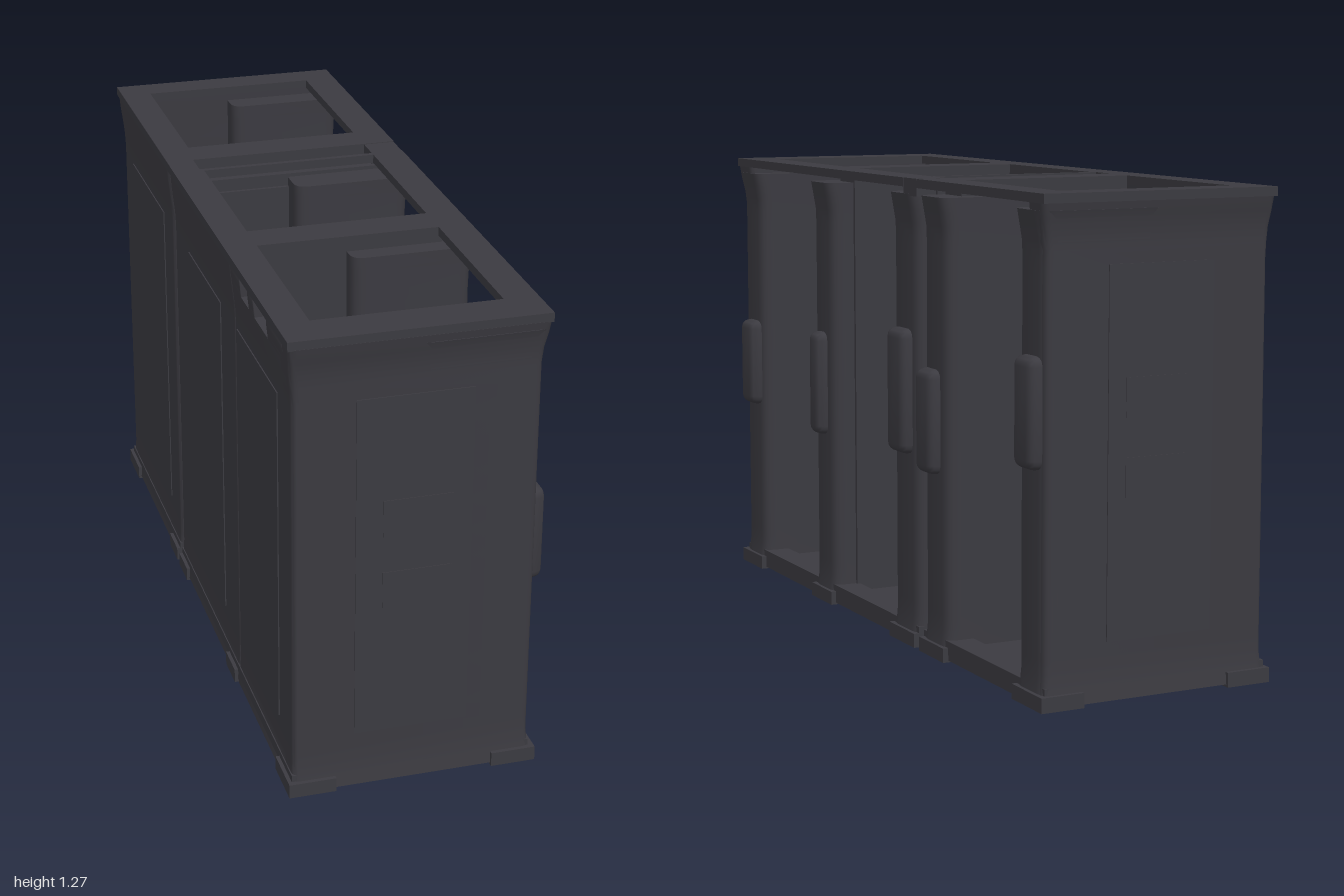
import * as THREE from 'three';
import { toCreasedNormals } from 'three/addons/utils/BufferGeometryUtils.js';
import { RoundedBoxGeometry } from 'three/addons/geometries/RoundedBoxGeometry.js';

const charcoal = new THREE.MeshStandardMaterial({ color: 0x3b3a40, side: THREE.DoubleSide });
charcoal.name = 'charcoal';

// Outward flare towards the crown (starting at height from) and the foot
function flare(y, from) {
  if (y > from) return 0.016 * Math.min(1, (y - from) / (1.24 - from));
  if (y < 0.08) return 0.01 * (0.08 - y) / 0.08;
  return 0;
}

export function createModel() {
  const group = new THREE.Group();

  const add = (name, geo, crease = 0.6) => {
    const mesh = new THREE.Mesh(toCreasedNormals(geo, crease), charcoal);
    mesh.name = name;
    group.add(mesh);
  };

  const box = (name, x0, x1, y0, y1, z0, z1) => {
    const g = new THREE.BoxGeometry(x1 - x0, y1 - y0, z1 - z0);
    g.translate((x0 + x1) / 2, (y0 + y1) / 2, (z0 + z1) / 2);
    add(name, g);
  };

  // Vertical piece with rounded corners in plan, flared on the outer faces
  const column = (name, x0, x1, y0, y1, z0, z1, r = 0.02) => {
    const s = new THREE.Shape();
    s.moveTo(x0 + r, -z1);
    s.lineTo(x1 - r, -z1);
    s.quadraticCurveTo(x1, -z1, x1, -z1 + r);
    s.lineTo(x1, -z0 - r);
    s.quadraticCurveTo(x1, -z0, x1 - r, -z0);
    s.lineTo(x0 + r, -z0);
    s.quadraticCurveTo(x0, -z0, x0, -z0 - r);
    s.lineTo(x0, -z1 + r);
    s.quadraticCurveTo(x0, -z1, x0 + r, -z1);
    const g = new THREE.ExtrudeGeometry(s, { depth: y1 - y0, bevelEnabled: false, steps: 32, curveSegments: 4 });
    g.rotateX(-Math.PI / 2).translate(0, y0, 0);
    const p = g.attributes.position;
    for (let i = 0; i < p.count; i++) {
      const x = p.getX(i), y = p.getY(i), z = p.getZ(i);
      if (x < -0.3) p.setX(i, x - flare(y, 1.12) * 0.8);
      if (x > 0.27) p.setX(i, x + flare(y, 1.15));
      if (Math.abs(z) > 0.95) p.setZ(i, z + Math.sign(z) * flare(y, 1.19));
    }
    add(name, g);
  };

  // Flat plate in the x-z plane with rectangular openings [x0, x1, z0, z1]
  const plate = (name, rect, y0, y1, openings) => {
    const path = (P, [x0, x1, z0, z1]) => {
      const s = new P();
      s.moveTo(x0, -z0); s.lineTo(x1, -z0); s.lineTo(x1, -z1); s.lineTo(x0, -z1); s.closePath();
      return s;
    };
    const s = path(THREE.Shape, rect);
    s.holes = openings.map(o => path(THREE.Path, o));
    const g = new THREE.ExtrudeGeometry(s, { depth: y1 - y0, bevelEnabled: false });
    g.rotateX(-Math.PI / 2).translate(0, y0, 0);
    add(name, g);
  };

  // Top frames of the double and single booths, and the lower joint between them
  plate('doubleTopFrame', [-0.345, 0.32, -0.215, 0.998], 1.253, 1.277,
    [[-0.26, 0.23, -0.2, 0.28], [-0.26, 0.23, 0.385, 0.885]]);
  plate('singleTopFrame', [-0.345, 0.32, -1, -0.295], 1.253, 1.277, [[-0.26, 0.23, -0.91, -0.4]]);
  box('topJoint', -0.3, 0.26, 1.2, 1.245, -0.3, -0.2);
  box('frontJointRail', 0.23, 0.318, 1.23, 1.277, -0.29, -0.21);
  box('rearJointRail', -0.345, -0.27, 1.253, 1.277, -0.295, -0.21);

  // End walls and dividers
  for (const s of [1, -1]) column('endWall', -0.33, 0.303, 0.01, 1.255, s > 0 ? 0.89 : -0.983, s > 0 ? 0.983 : -0.91);
  box('divider', -0.29, 0.24, 0.02, 1.255, 0.285, 0.385);
  box('doubleJointWall', -0.29, 0.24, 0.02, 1.21, -0.265, -0.19);
  box('singleJointWall', -0.29, 0.24, 0.02, 1.255, -0.4, -0.305);
  box('jointFiller', -0.3, 0.27, 0.05, 1.22, -0.31, -0.26);

  // Back walls; the front booth has two gaps under its top rail
  column('singleBackWall', -0.33, -0.26, 0.01, 1.255, -0.95, -0.295);
  column('middleBackWall', -0.33, -0.26, 0.01, 1.255, -0.275, 0.43, 0.012);
  column('frontBackWall', -0.33, -0.26, 0.01, 1.2, 0.43, 0.95, 0.004);
  for (const [z0, z1] of [[0.43, 0.525], [0.605, 0.66], [0.79, 0.94]])
    column('backWallHeader', -0.33, -0.275, 1.2, 1.255, z0, z1, 0.003);

  // Thick rounded front posts and their feet
  const posts = [[0.84, 0.983], [0.295, 0.44], [-0.27, -0.11], [-0.45, -0.302], [-0.983, -0.84]];
  for (const [z0, z1] of posts) {
    column('frontPost', -0.02, 0.305, 0.01, 1.235, z0, z1, 0.035);
    box('frontFoot', 0.2, 0.32, 0.003, 0.042, z0 - (z0 < -0.9 ? 0.016 : 0), z1 + (z1 > 0.9 ? 0.016 : 0));
  }

  // Grips on the posts: centre z, bottom, top, width
  const grips = [[0.91, 0.52, 0.78, 0.1], [0.38, 0.5, 0.8, 0.075], [-0.18, 0.53, 0.87, 0.11],
    [-0.355, 0.5, 0.78, 0.1], [-0.915, 0.6, 0.88, 0.1]];
  for (const [z, y0, y1, w] of grips) {
    const g = new RoundedBoxGeometry(0.06, y1 - y0, w, 2, 0.025);
    g.translate(0.307, (y0 + y1) / 2, z);
    add('postGrip', g, 1);
  }

  // Floors and base rims, split at the joint
  for (const [z0, z1] of [[-0.27, 0.985], [-0.985, -0.3]]) {
    box('floor', -0.32, 0.29, 0.02, 0.04, z0, z1);
    box('frontSill', 0.23, 0.305, 0.008, 0.06, z0, z1);
    box('rearSill', -0.335, -0.25, 0.008, 0.06, z0, z1);
    for (const z of [z0, z1 - 0.07]) box('baseRim', -0.32, 0.3, 0.008, 0.04, z, z + 0.07);
  }

  // Rear feet at the corners and beside the dividers
  for (const z of [0.86, 0.32, -0.27, -0.4, -0.999]) box('rearFoot', -0.345, -0.22, 0.003, 0.042, z, z + (Math.abs(z) > 0.8 ? 0.139 : 0.1));

  // Booth interiors: back panel, floor cove, cornices, shelf and upright blade
  const bays = [
    { z0: 0.385, z1: 0.89, shelf: [0.5, 0.77], blade: [0.63, 0.21, 0.88] },
    { z0: -0.19, z1: 0.285, shelf: [-0.11, 0.18], blade: [0.0, 0.65, 1.08] },
    { z0: -0.91, z1: -0.4, shelf: [-0.79, -0.5], blade: [-0.63, 0.22, 0.8] },
  ];
  for (const { z0, z1, shelf, blade } of bays) {
    box('backPanel', -0.262, -0.248, 0.06, 1.05, z0 + 0.02, z1 - 0.02);
    box('lowerCornice', -0.265, -0.235, 1.05, 1.085, z0, z1);
    box('upperCornice', -0.265, -0.245, 1.15, 1.17, z0, z1);
    box('shelf', -0.26, -0.215, 0.592, 0.615, shelf[0], shelf[1]);

    const cove = new THREE.Shape();
    cove.moveTo(-0.255, 0.035);
    cove.lineTo(-0.2, 0.035);
    cove.quadraticCurveTo(-0.248, 0.042, -0.248, 0.09);
    cove.lineTo(-0.255, 0.09);
    const coveGeo = new THREE.ExtrudeGeometry(cove, { depth: z1 - z0, bevelEnabled: false, curveSegments: 5 });
    add('floorCove', coveGeo.translate(0, 0, z0));

    const [z, y0, y1] = blade;
    for (const up of [1, -1]) {
      const half = new THREE.ConeGeometry(0.015, (y1 - y0) / 2, 4);
      if (up < 0) half.rotateX(Math.PI);
      half.translate(-0.24, (y0 + y1) / 2 + up * (y1 - y0) / 4, z);
      add('wallBlade', half);
    }
  }

  // Shallow raised panels on the end walls and the back
  for (const s of [1, -1]) {
    box('endPanel', -0.17, 0.13, 0.16, 1.1, s * 0.984 - 0.002, s * 0.984 + 0.002);
    for (const y of [0.52, 0.72]) box('endPanelInset', -0.1, 0.08, y, y + 0.1, s * 0.986 - 0.002, s * 0.986 + 0.002);
  }
  for (const [z0, z1] of [[0.45, 0.85], [-0.1, 0.27], [-0.85, -0.42]])
    box('rearPanel', -0.333, -0.329, 0.16, 1.08, z0, z1);

  return group;
}
